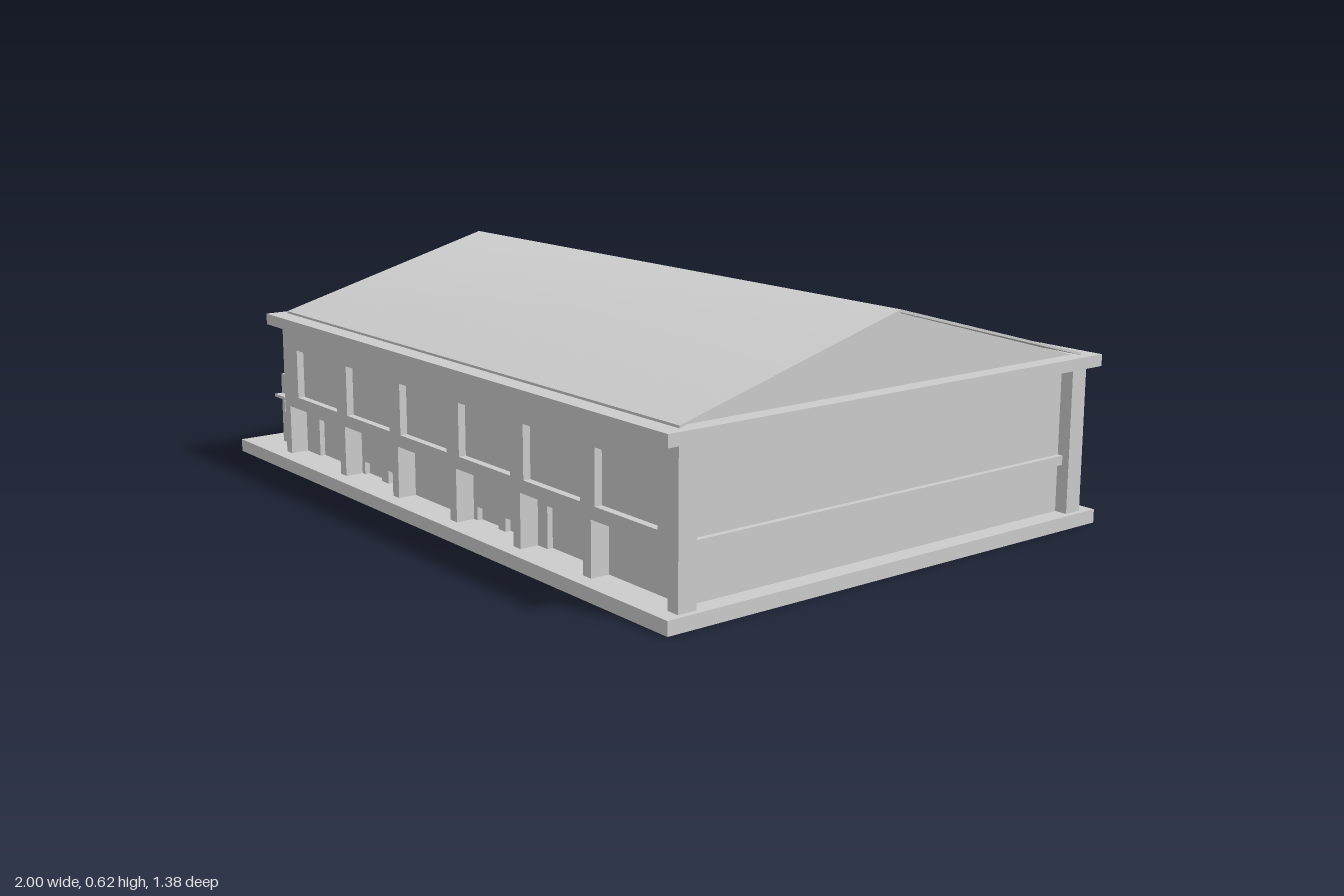
import * as THREE from 'three';
import { toCreasedNormals } from 'three/addons/utils/BufferGeometryUtils.js';

const grey = new THREE.MeshStandardMaterial({ color: 0xcccccc });

// Box given by its min and max corners
function box(parent, name, x0, x1, y0, y1, z0, z1) {
  const mesh = new THREE.Mesh(new THREE.BoxGeometry(x1 - x0, y1 - y0, z1 - z0), grey);
  mesh.position.set((x0 + x1) / 2, (y0 + y1) / 2, (z0 + z1) / 2);
  mesh.name = name;
  parent.add(mesh);
  return mesh;
}

// Upright panel in the xy plane with rectangular openings [x0, x1, y0, y1]
function panel(parent, name, x0, x1, y0, y1, z, depth, openings) {
  const rect = (path, a, b, c, d) =>
    path.moveTo(a, c).lineTo(b, c).lineTo(b, d).lineTo(a, d).closePath();
  const shape = rect(new THREE.Shape(), x0, x1, y0, y1);
  for (const o of openings) shape.holes.push(rect(new THREE.Path(), ...o));
  const geo = new THREE.ExtrudeGeometry(shape, { depth, bevelEnabled: false });
  geo.translate(0, 0, z);
  const mesh = new THREE.Mesh(geo, grey);
  mesh.name = name;
  parent.add(mesh);
  return mesh;
}

// Profile in the zy plane, extruded along x
function prism(parent, name, points, x0, x1) {
  const shape = new THREE.Shape(points.map(([z, y]) => new THREE.Vector2(-z, y)));
  let geo = new THREE.ExtrudeGeometry(shape, { depth: x1 - x0, bevelEnabled: false });
  geo.rotateY(Math.PI / 2).translate(x0, 0, 0);
  geo = toCreasedNormals(geo, 0.65); // smooth over the ridge, sharp at the eaves
  const mesh = new THREE.Mesh(geo, grey);
  mesh.name = name;
  parent.add(mesh);
}

// One long side, built facing +z
function longSide(name) {
  const side = new THREE.Group();
  side.name = name;
  const windows = [];
  for (let i = 0; i < 6; i++) {
    const x = -0.597 + i * 0.28;
    windows.push([x - 0.112, x + 0.112, 0.205, 0.34]);
  }
  panel(side, 'upperWall', -0.76, 0.95, 0.172, 0.405, 0.63, 0.02, windows);
  panel(side, 'lowerWall', -0.76, 0.95, 0.01, 0.172, 0.585, 0.015, [
    [-0.685, -0.515, 0.035, 0.14], [0.435, 0.605, 0.035, 0.14],
    [-0.43, -0.34, 0.035, 0.07], [-0.305, -0.215, 0.035, 0.07],
    [0.132, 0.225, 0.035, 0.07], [0.257, 0.35, 0.035, 0.07],
  ]);
  for (let i = 0; i < 5; i++) {
    const x = -0.459 + i * 0.28;
    box(side, 'pillar', x - 0.015, x + 0.015, 0.035, 0.172, 0.6, 0.65);
  }
  return side;
}

// Low annex along the -x end
function createAnnex() {
  const annex = new THREE.Group();
  annex.name = 'annex';
  box(annex, 'annexCore', -0.9, -0.76, 0.035, 0.235, -0.585, 0.585);
  // Long wall with strip windows and a doorway
  const long = panel(annex, 'annexLongWall', -0.6, 0.6, 0.035, 0.235, 0, 0.01, [
    [-0.56, -0.2, 0.125, 0.16], [0.2, 0.56, 0.125, 0.16],
  ]);
  long.rotation.y = -Math.PI / 2;
  long.position.x = -0.9;
  for (const s of [-1, 1]) {
    // End walls with window and ledge
    const end = panel(annex, 'annexEndWall', -0.9, -0.76, 0.035, 0.235, 0, 0.015,
      [[-0.895, -0.8, 0.125, 0.16]]);
    end.position.z = s > 0 ? 0.585 : -0.6;
    box(annex, 'endLedge', -0.91, -0.79, 0.17, 0.178, s * 0.61 - 0.012, s * 0.61 + 0.012);
    box(annex, 'longLedge', -0.935, -0.905, 0.17, 0.178, s * 0.383 - 0.203, s * 0.383 + 0.203);
    // Door posts
    box(annex, 'doorPost', -0.935, -0.905, 0.035, 0.17, s * 0.085 - 0.015, s * 0.085 + 0.015);
    box(annex, 'upperDoorPost', -0.79, -0.755, 0.235, 0.315,
      0.362 + s * 0.085 - 0.015, 0.362 + s * 0.085 + 0.015);
  }
  box(annex, 'doorCanopy', -0.99, -0.905, 0.168, 0.18, -0.115, 0.115);
  box(annex, 'upperDoorCanopy', -0.832, -0.755, 0.315, 0.328, 0.25, 0.475);
  return annex;
}

export function createModel() {
  const model = new THREE.Group();
  model.name = 'hall';

  box(model, 'basePlinth', -1, 1, 0, 0.035, -0.69, 0.69);
  box(model, 'lowerCore', -0.76, 0.95, 0.03, 0.172, -0.585, 0.585);
  box(model, 'upperCore', -0.76, 0.95, 0.172, 0.405, -0.63, 0.63);
  box(model, 'eaveSlab', -0.805, 1, 0.405, 0.435, -0.69, 0.69);

  // Long sides
  model.add(longSide('frontSide'));
  const back = longSide('backSide');
  back.scale.z = -1;
  model.add(back);

  // Corner columns
  for (const z of [-0.625, 0.625])
    for (const [a, b] of [[-0.79, -0.76], [0.95, 0.985]])
      box(model, 'cornerColumn', a, b, 0.035, 0.405, z - 0.025, z + 0.025);

  // Ledge band on the plain end
  box(model, 'endBand', 0.945, 0.965, 0.158, 0.182, -0.6, 0.6);

  // Gable body and thin overhanging roof sheet
  prism(model, 'gable', [[0.625, 0.435], [-0.625, 0.435], [0, 0.609]], -0.755, 0.955);
  prism(model, 'roof', [[0.64, 0.435], [0.64, 0.441], [0, 0.617], [-0.64, 0.441],
    [-0.64, 0.435], [0, 0.61]], -0.775, 0.975);

  model.add(createAnnex());
  return model;
}
